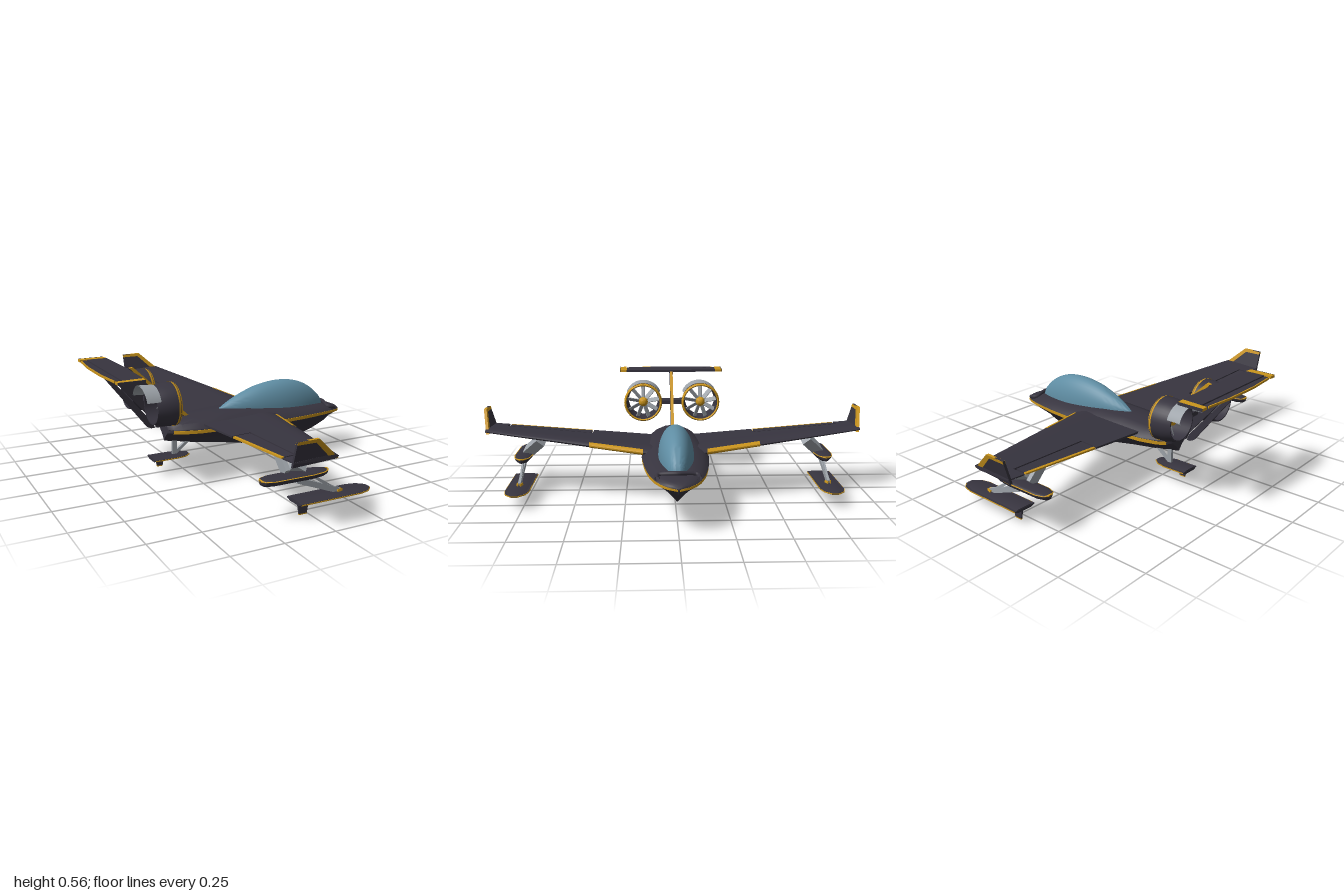
import * as THREE from 'three';
import { toCreasedNormals } from 'three/addons/utils/BufferGeometryUtils.js';

const mat = (name, color) => {
  const m = new THREE.MeshStandardMaterial({ color, side: THREE.DoubleSide });
  m.name = name;
  return m;
};

export function createModel() {
  const root = new THREE.Group();
  root.name = 'seaplane';
  const dark = mat('charcoal', 0x37343f), gold = mat('gold', 0xcb951c);
  const grey = mat('grey', 0x9ca2a8), glass = mat('glass', 0x5f8da3);

  const add = (name, geo, m) => {
    const mesh = new THREE.Mesh(geo, m);
    mesh.name = name;
    root.add(mesh);
    return mesh;
  };

  // Skin a list of equal-length rings of [x, y, z]; closed rings get end caps
  function loft(rings, closed = true, crease = 0.6) {
    const n = rings[0].length, pos = rings.flat(2), idx = [];
    for (let i = 0; i < rings.length - 1; i++)
      for (let j = 0; j < (closed ? n : n - 1); j++) {
        const a = i * n + j, b = i * n + (j + 1) % n;
        idx.push(a, b, a + n, b, b + n, a + n);
      }
    if (closed) [0, rings.length - 1].forEach((r, e) => {
      const c = pos.length / 3;
      for (let k = 0; k < 3; k++) pos.push(rings[r].reduce((s, p) => s + p[k], 0) / n);
      for (let j = 0; j < n; j++) {
        const a = r * n + j, b = r * n + (j + 1) % n;
        e ? idx.push(a, b, c) : idx.push(b, a, c);
      }
    });
    const g = new THREE.BufferGeometry();
    g.setAttribute('position', new THREE.Float32BufferAttribute(pos, 3));
    g.setIndex(idx);
    return toCreasedNormals(g, crease);
  }

  // Flat panel in the xy plane, centred on z = 0
  const panel = (pts, t) => new THREE.ExtrudeGeometry(
    new THREE.Shape(pts.map(p => new THREE.Vector2(...p))), { depth: t, bevelEnabled: false }).translate(0, 0, -t / 2);
  // Flat plate in the xz plane, centred on height y
  const plate = (pts, y, t) => panel(pts, t).rotateX(Math.PI / 2).translate(0, y, 0);

  // Rectangular strut between two points
  function beam(name, a, b, w, d, m = grey) {
    const p = new THREE.Vector3(...a), q = new THREE.Vector3(...b);
    const mesh = add(name, new THREE.BoxGeometry(w, p.distanceTo(q), d), m);
    mesh.position.copy(p).add(q).multiplyScalar(0.5);
    mesh.quaternion.setFromUnitVectors(new THREE.Vector3(0, 1, 0), q.sub(p).normalize());
  }

  // Hull stations: x, half width, deck top, chine height, keel
  const stations = [
    [-0.35, 0.05, 0.275, 0.225, 0.165], [-0.33, 0.08, 0.278, 0.225, 0.16], [-0.29, 0.105, 0.28, 0.225, 0.153],
    [-0.2, 0.13, 0.285, 0.225, 0.135], [-0.05, 0.14, 0.295, 0.225, 0.112], [0.1, 0.155, 0.295, 0.225, 0.085],
    [0.23, 0.162, 0.285, 0.225, 0.08], [0.4, 0.148, 0.275, 0.226, 0.08], [0.47, 0.138, 0.27, 0.226, 0.084],
    [0.55, 0.123, 0.262, 0.226, 0.11], [0.62, 0.1, 0.25, 0.224, 0.14], [0.66, 0.075, 0.24, 0.22, 0.168],
    [0.685, 0.045, 0.23, 0.216, 0.188], [0.7, 0.004, 0.215, 0.212, 0.205]];
  add('hull', loft(stations.map(([x, w, top, c, keel]) => {
    const h = top - c, k = c - keel;
    const half = [[0.5, c + h * 0.93], [0.82, c + h * 0.7], [1, c + h * 0.3], [1.03, c + h * 0.2], [1, c + h * 0.17],
      [1, c - k * 0.08], [0.78, c - k * 0.28], [0.5, c - k * 0.47], [0.22, c - k * 0.75]].map(([f, y]) => [x, y, f * w]);
    return [[x, top, 0], ...half, [x, keel, 0], ...half.slice().reverse().map(([a, y, z]) => [a, y, -z])];
  })), dark);

  // Gold chine stripes tucked under the deck edge
  for (const s of [1, -1])
    add('chineStripe', loft(stations.slice(1).map(([x, w, top, c]) => {
      const up = Math.min(0.009, (top - c) * 0.17);
      return [[x, c + up, s * w * 0.97], [x, c + up, s * (w + 0.003)],
        [x, c - 0.008, s * (w + 0.003)], [x, c - 0.009, s * w * 0.94]];
    })), gold);

  // Bow collar ahead of the canopy
  add('bowCollar', new THREE.TubeGeometry(new THREE.CatmullRomCurve3(
    [[0.63, 0.243, -0.095], [0.59, 0.25, -0.09], [0.605, 0.26, 0], [0.59, 0.25, 0.09], [0.63, 0.243, 0.095]]
      .map(p => new THREE.Vector3(...p))), 24, 0.011, 8), dark);

  // Teardrop canopy: x, top, half width
  const canopyCurve = new THREE.CatmullRomCurve3([[-0.04, 0.294, 0.003], [0.02, 0.328, 0.033], [0.1, 0.364, 0.058],
    [0.2, 0.396, 0.077], [0.32, 0.409, 0.086], [0.42, 0.397, 0.08], [0.5, 0.363, 0.064],
    [0.56, 0.315, 0.042], [0.585, 0.285, 0.026], [0.6, 0.252, 0.003]].map(p => new THREE.Vector3(...p)));
  add('canopy', loft(canopyCurve.getPoints(36).map(({ x, y, z }) => Array.from({ length: 21 }, (_, i) => {
    const a = Math.PI * i / 20, base = 0.288 - 0.063 * x;
    return [x, base + (y - base) * Math.sin(a), z * Math.cos(a)];
  })), false, 1.5), glass);

  // Wing: leading edge, trailing edge, height and thickness along the span
  const lead = z => 0.272 - 0.26 * z, trail = z => -0.18 - 0.02 * z;
  const hinge = z => -0.095 - 0.085 * (z - 0.43);
  const foil = u => 0.06 + 0.94 * Math.min(1, 2.6 * Math.sqrt(u)) * Math.min(1, 1.25 - 1.15 * u + 0.1 * u * u);
  function wingPiece(name, s, z0, z1, front, back, m, grow = 0) {
    const ring = z => {
      const top = [], bottom = [];
      for (let i = 0; i <= 10; i++) {
        const x = front(z) + (back(z) - front(z)) * (i / 10) ** 1.5;
        const u = Math.max(0, Math.min(1, (lead(z) - x) / (lead(z) - trail(z))));
        const t = (0.046 - 0.024 * z) * foil(u) / 2 + grow, y = 0.245 + 0.08 * z;
        top.push([x, y + t, s * z]);
        bottom.unshift([x, y - t, s * z]);
      }
      return [...top, ...bottom];
    };
    add(name, loft([ring(z0), ring(z1)]), m);
  }

  for (const s of [1, -1]) {
    wingPiece('innerWing', s, 0.02, 0.43, lead, trail, dark);
    wingPiece('midWing', s, 0.43, 0.885, lead, z => hinge(z) + 0.004, dark);
    wingPiece('outerWing', s, 0.885, 0.975, lead, trail, dark);
    wingPiece('aileron', s, 0.438, 0.875, z => hinge(z) - 0.004, z => trail(z) + 0.014, dark);
    wingPiece('aileronTrim', s, 0.438, 0.875, z => trail(z) + 0.014, trail, gold);
    wingPiece('leadingEdgeTrim', s, 0.16, 0.43, z => lead(z) + 0.003, z => lead(z) - 0.022, gold, 0.002);

    // Canted winglet with gold edge
    const lean = g => {
      const p = g.attributes.position;
      for (let i = 0; i < p.count; i++) p.setZ(i, p.getZ(i) + s * (0.962 + (p.getY(i) - 0.31) * 0.29));
      g.computeVertexNormals();
      return g;
    };
    add('winglet', lean(panel([[-0.2, 0.3], [0.018, 0.31], [-0.1, 0.419], [-0.2, 0.419]], 0.012)), dark);
    add('wingletTrim', lean(panel([[0.022, 0.31], [-0.098, 0.42], [-0.2, 0.418], [-0.2, 0.404],
      [-0.11, 0.404], [-0.015, 0.312]], 0.014)), gold);

    // Tip float with gold rim
    const zf = s * 0.785;
    const floatRing = (x, w, lo, hi) => Array.from({ length: 16 }, (_, i) => {
      const a = i / 16 * Math.PI * 2, y = Math.sin(a);
      return [x, 0.193 + (y > 0 ? y * hi : y * lo), zf - Math.cos(a) * w];
    });
    const floatPlan = [[-0.245, 0.008], [-0.23, 0.03], [-0.19, 0.043], [0, 0.045], [0.06, 0.036], [0.09, 0.02], [0.1, 0.004]];
    add('tipFloat', loft(floatPlan.map(([x, w]) => floatRing(x, w, 0.11 * w ** 0.4, w * 0.2))), dark);
    add('tipFloatRim', loft(floatPlan.map(([x, w]) => floatRing(x, w + 0.003, 0.006, 0.004))), gold);

    // Float and ski struts
    beam('floatStrutRear', [-0.105, 0.2, s * 0.77], [-0.105, 0.285, s * 0.685], 0.022, 0.05);
    beam('floatStrutFront', [-0.05, 0.2, s * 0.77], [0.02, 0.28, s * 0.685], 0.06, 0.05);
    beam('skiStrut', [-0.06, 0.165, zf], [0.165, 0.078, zf], 0.026, 0.014);
    beam('skiStrutBrace', [0.03, 0.165, zf], [0.16, 0.08, zf], 0.013, 0.01);
    for (const t of [1, -1])
      beam('skiPivot', [0.15, 0.082, zf + t * 0.014], [0.18, 0.082, zf + t * 0.006], 0.012, 0.005, gold);
    ski('wingSki', -0.07, 0.325, 0.06, 0.068, zf, [[-0.055, 0.065], [0.005, 0.065], [-0.005, 0.005], [-0.045, 0.005]]);
  }

  // Ski with a lens section, rounded bow, gold rim and small fin
  function ski(name, x0, x1, w, y, z, fin) {
    const plan = [[x0, 1], [x1 - 0.08, 1], [x1 - 0.03, 0.8], [x1, 0.35]];
    const ring = (x, hw, t) => [[x, y, z - hw], [x, y + t, z - hw * 0.6], [x, y + t, z + hw * 0.6],
      [x, y, z + hw], [x, y - t, z + hw * 0.6], [x, y - t, z - hw * 0.6]];
    add(name, loft(plan.map(([x, f]) => ring(x, w * f, 0.004 + 0.005 * f))), dark);
    const outline = plan.map(([x, f]) => [x + 0.001, w * f + 0.001]);
    add(name + 'Rim', plate([...outline, ...outline.slice().reverse().map(([x, v]) => [x, -v])], y + 0.001, 0.005)
      .translate(0, 0, z), gold);
    // Dark deck just above the rim
    const deck = plan.map(([x, f]) => [x - 0.001, w * f - 0.001]);
    add(name + 'Deck', plate([...deck, ...deck.slice().reverse().map(([x, v]) => [x, -v])], y + 0.002, 0.005)
      .translate(0, 0, z), dark);
    add(name + 'Fin', panel(fin, 0.008).translate(0, 0, z), dark);
    const tip = fin.slice(2);
    add(name + 'FinTip', panel([...tip, [tip[1][0], tip[1][1] - 0.005], [tip[0][0], tip[0][1] - 0.005]], 0.008)
      .translate(0, 0, z), gold);
  }

  // Tail ski
  ski('tailSki', -0.42, -0.22, 0.055, 0.078, 0, [[-0.4, 0.075], [-0.355, 0.075], [-0.362, 0.038], [-0.392, 0.038]]);
  beam('tailSkiStrut', [-0.295, 0.17, 0], [-0.295, 0.085, 0], 0.025, 0.014);
  beam('tailSkiBrace', [-0.215, 0.15, 0], [-0.295, 0.088, 0], 0.016, 0.012);

  // Swept fin and rudder
  add('fin', panel([[-0.2, 0.26], [-0.225, 0.285], [-0.51, 0.556], [-0.645, 0.55], [-0.405, 0.275], [-0.39, 0.24], [-0.33, 0.24]], 0.014), dark);
  add('finLeadingTrim', panel([[-0.215, 0.283], [-0.505, 0.559], [-0.525, 0.556], [-0.238, 0.28]], 0.016), gold);
  add('rudder', panel([[-0.622, 0.515], [-0.655, 0.525], [-0.44, 0.25], [-0.42, 0.24], [-0.4, 0.24], [-0.411, 0.272]], 0.012), dark);
  add('finFairing', new THREE.BoxGeometry(0.13, 0.016, 0.02).translate(-0.585, 0.547, 0), dark);

  // T-tail with gold tips and trailing edge
  add('tailplane', plate([[-0.652, -0.26], [-0.55, -0.26], [-0.543, 0], [-0.55, 0.26], [-0.652, 0.26]], 0.556, 0.012), dark);
  add('elevator', plate([[-0.68, -0.25], [-0.66, -0.25], [-0.66, 0.25], [-0.68, 0.25], [-0.694, 0.1], [-0.694, -0.1]], 0.556, 0.01), dark);
  add('elevatorTrim', plate([[-0.686, -0.25], [-0.68, -0.25], [-0.694, -0.1], [-0.694, 0.1], [-0.68, 0.25], [-0.686, 0.25], [-0.7, 0.1], [-0.7, -0.1]], 0.556, 0.01), gold);
  for (const s of [1, -1]) {
    add('tailTip', plate([[-0.686, s * 0.265], [-0.55, s * 0.258], [-0.556, s * 0.298], [-0.686, s * 0.298]], 0.556, 0.013), gold);
    add('tailTipEdge', new THREE.BoxGeometry(0.132, 0.014, 0.003).translate(-0.62, 0.556, s * 0.299), dark);
  }

  // Ducted fans; profiles are [radius, x]
  const turn = (pts, x, z) => toCreasedNormals(new THREE.LatheGeometry(
    pts.map(p => new THREE.Vector2(...p)), 40), 0.7).rotateZ(-Math.PI / 2).translate(x, 0.4, z);
  for (const s of [1, -1]) {
    const z = s * 0.163;
    add('duct', turn([[0.094, 0.1], [0.09, 0.04], [0.084, -0.012], [0.09, -0.012], [0.103, 0.04], [0.106, 0.1]], -0.468, z), dark);
    add('ductLip', turn([[0.094, 0], [0.095, 0.014], [0.1, 0.02], [0.105, 0.014], [0.108, 0]], -0.38, z), gold);
    add('fanHub', turn([[0, -0.035], [0.024, -0.035], [0.026, 0], [0.02, 0.015], [0.01, 0.024], [0, 0.027]], -0.4, z), gold);
    for (let i = 0; i < 9; i++) {
      const blade = add('fanBlade', new THREE.BoxGeometry(0.028, 0.07, 0.004).rotateY(0.75).translate(0, 0.057, 0), grey);
      blade.position.set(-0.41, 0.4, z);
      blade.rotation.x = i / 9 * Math.PI * 2;
    }
    // Deflector shell over the exhaust
    for (const r of [0.1, 0.092])
      add('exhaustShell', new THREE.CylinderGeometry(r, r + 0.006, 0.07, 24, 1, true, Math.PI + 0.4, Math.PI - 0.8)
        .rotateZ(-Math.PI / 2).translate(-0.498, 0.4, z), grey);
    add('enginePylon', new THREE.BoxGeometry(0.08, 0.022, 0.06).translate(-0.42, 0.4, s * 0.036), dark);
  }
  return root;
}
